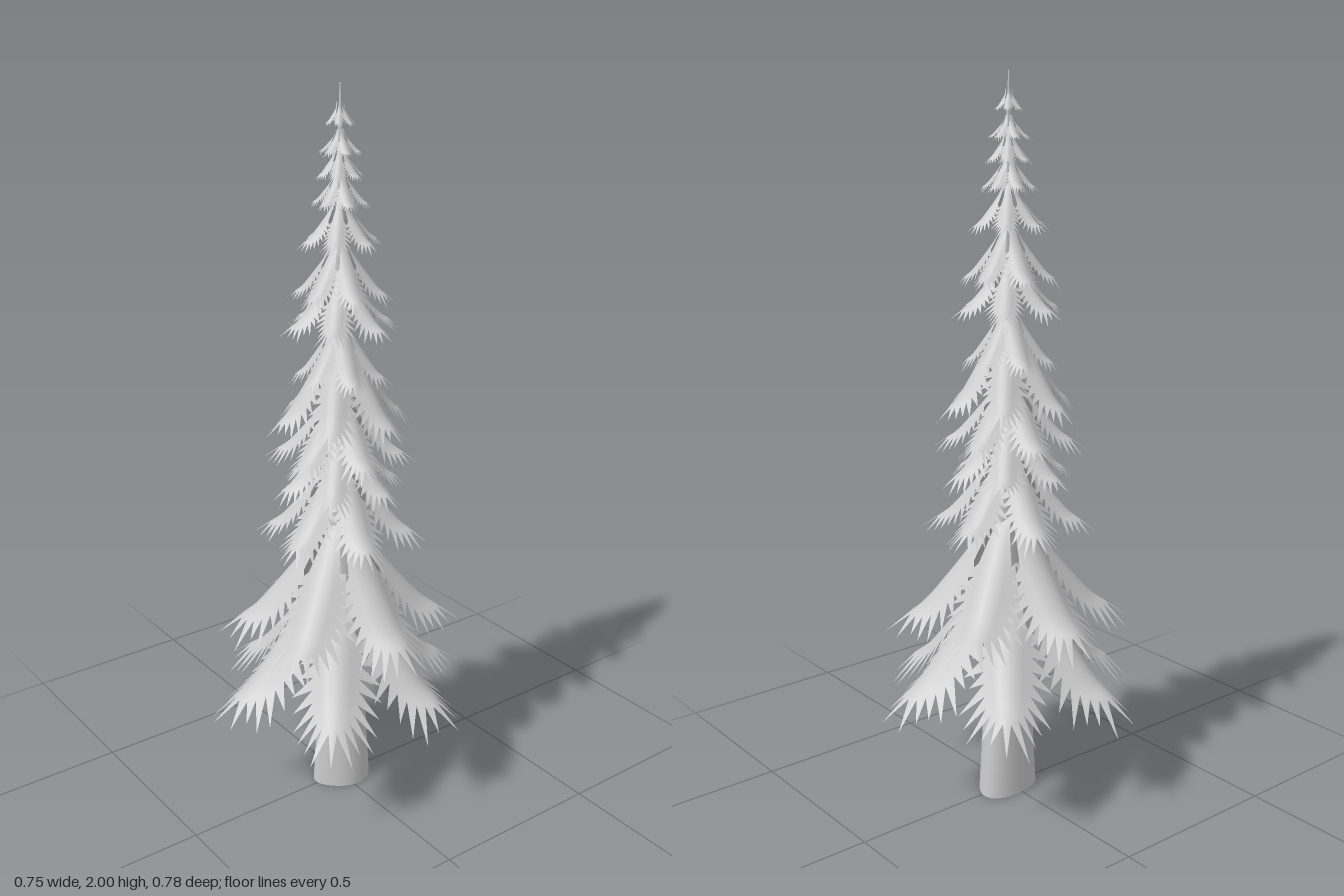
import * as THREE from 'three';

const material = new THREE.MeshStandardMaterial({ color: 0xcccccc, side: THREE.DoubleSide });

// small seeded generator for needle variation
function seeded(seed) {
  let s = seed;
  return () => (s = (s * 16807) % 2147483647) / 2147483647;
}

// one drooping, arched bough: a lofted sheet with a fringe of pointed needles
function boughGeometry(R, yTip, yTop, W, seed) {
  const rnd = seeded(seed), h = yTop - yTip;
  const spine = new THREE.CatmullRomCurve3([
    [0.01, yTop], [0.25 * R, yTip + 0.71 * h], [0.52 * R, yTip + 0.37 * h],
    [0.68 * R, yTip + 0.19 * h], [0.8 * R, yTip + 0.1 * h],
  ].map(([x, y]) => new THREE.Vector3(x, y, 0)));
  const L = spine.getLength();

  // point on the (extended) sheet: t along the spine, v across it
  const surface = (t, v) => {
    const c = Math.min(t, 1), p = spine.getPointAt(c), d = spine.getTangentAt(c);
    p.addScaledVector(d, (t - c) * L);
    const u = Math.abs(v) / W, drop = W * (u < 1 ? 0.5 * u * u : 0.5 + 0.5 * (u - 1));
    return [p.x + d.y * drop, p.y - d.x * drop, v];
  };
  const halfWidth = (t) => {
    const grow = 0.24 + 0.76 * THREE.MathUtils.smoothstep(t, 0, 0.68);
    const round = t < 0.75 ? 1 : Math.sqrt(Math.max(0.03, 1 - ((t - 0.75) / 0.25) ** 2));
    return W * grow * round;
  };

  const rows = [0, 0.12, 0.24, 0.34, 0.43, 0.52, 0.6, 0.68, 0.75, 0.82, 0.88, 0.93, 0.97, 1];
  const cols = 6, pos = [], index = [];
  rows.forEach((t, i) => {
    for (let j = 0; j <= cols; j++) {
      pos.push(...surface(t, halfWidth(t) * (2 * j / cols - 1)));
      if (i && j) {
        const a = i * (cols + 1) + j, b = a - cols - 1;
        index.push(a, b, a - 1, b, b - 1, a - 1);
      }
    }
  });

  // side needles fan forward towards the tip
  const needle = (t, v, angle, len, a, b) => {
    pos.push(...surface(t + Math.cos(angle) * len / L, v + Math.sin(angle) * len));
    index.push(a, b, pos.length / 3 - 1);
  };
  for (let i = 5; i < rows.length; i++) {
    const t = (rows[i] + rows[i - 1]) / 2, k = (t - 0.4) / 0.6;
    for (const side of [-1, 1]) {
      const edge = side < 0 ? 0 : cols;
      const a = (i - 1) * (cols + 1) + edge, b = i * (cols + 1) + edge;
      const len = R * (0.11 + 0.12 * k) * (0.65 + 0.6 * rnd());
      const angle = side * (1.15 - 0.85 * k ** 3);
      const v = side * (halfWidth(rows[i]) + halfWidth(rows[i - 1])) / 2;
      side < 0 ? needle(t, v, angle, len, b, a) : needle(t, v, angle, len, a, b);
    }
  }
  const last = (rows.length - 1) * (cols + 1);
  needle(1, 0, 0, 0.24 * R, last + cols, last);

  const g = new THREE.BufferGeometry();
  g.setAttribute('position', new THREE.Float32BufferAttribute(pos, 3));
  g.setIndex(index);
  g.computeVertexNormals();
  return g;
}

// tapering trunk with an oval, softly lobed section
function trunkGeometry() {
  const g = new THREE.CylinderGeometry(1, 1, 2, 24, 20);
  const p = g.attributes.position;
  const taper = [[0, 1], [0.35, 0.78], [0.8, 0.5], [1.4, 0.25], [1.9, 0.07], [2, 0.02]];
  for (let i = 0; i < p.count; i++) {
    const x = p.getX(i), z = p.getZ(i), y = p.getY(i) + 1;
    const n = Math.max(1, taper.findIndex(([h]) => h >= y - 1e-6));
    const [y0, r0] = taper[n - 1], [y1, r1] = taper[n];
    const r = THREE.MathUtils.lerp(r0, r1, (y - y0) / (y1 - y0));
    const lobe = 1 + 0.07 * Math.cos(3 * Math.atan2(z, x) + 0.4);
    p.setXYZ(i, (x * 0.066 * lobe + 0.002) * r, y, (z * 0.09 * lobe - 0.01) * r);
  }
  g.computeVertexNormals();
  return g;
}

export function createModel() {
  const tree = new THREE.Group();
  tree.name = 'conifer';

  const trunk = new THREE.Mesh(trunkGeometry(), material);
  trunk.name = 'trunk';
  tree.add(trunk);

  // reach, tip height, root height, half width, turn in degrees
  const tiers = [
    [0.4, 0.305, 0.72, 0.064, 40],
    [0.35, 0.515, 0.86, 0.062, 0],
    [0.245, 0.79, 1.03, 0.039, 15],
    [0.2, 0.925, 1.13, 0.033, 45],
    [0.21, 1.02, 1.22, 0.033, 12],
    [0.215, 1.11, 1.39, 0.035, 45],
    [0.145, 1.235, 1.41, 0.026, 18],
    [0.17, 1.38, 1.53, 0.027, 45],
    [0.147, 1.46, 1.62, 0.025, 15],
    [0.122, 1.6, 1.72, 0.02, 45],
    [0.085, 1.7, 1.79, 0.015, 15],
    [0.072, 1.77, 1.85, 0.013, 45],
    [0.062, 1.83, 1.89, 0.011, 15],
    [0.045, 1.9, 1.955, 0.008, 45],
  ];
  tiers.forEach(([R, yTip, yTop, W, turn], i) => {
    const tier = new THREE.Group();
    tier.name = `boughTier${i + 1}`;
    for (let k = 0; k < 6; k++) {
      const bough = new THREE.Mesh(boughGeometry(R, yTip, yTop, W, 101 + i * 97 + k * 13), material);
      bough.name = 'bough';
      bough.rotation.y = -THREE.MathUtils.degToRad(turn + k * 60);
      tier.add(bough);
    }
    tree.add(tier);
  });
  return tree;
}
